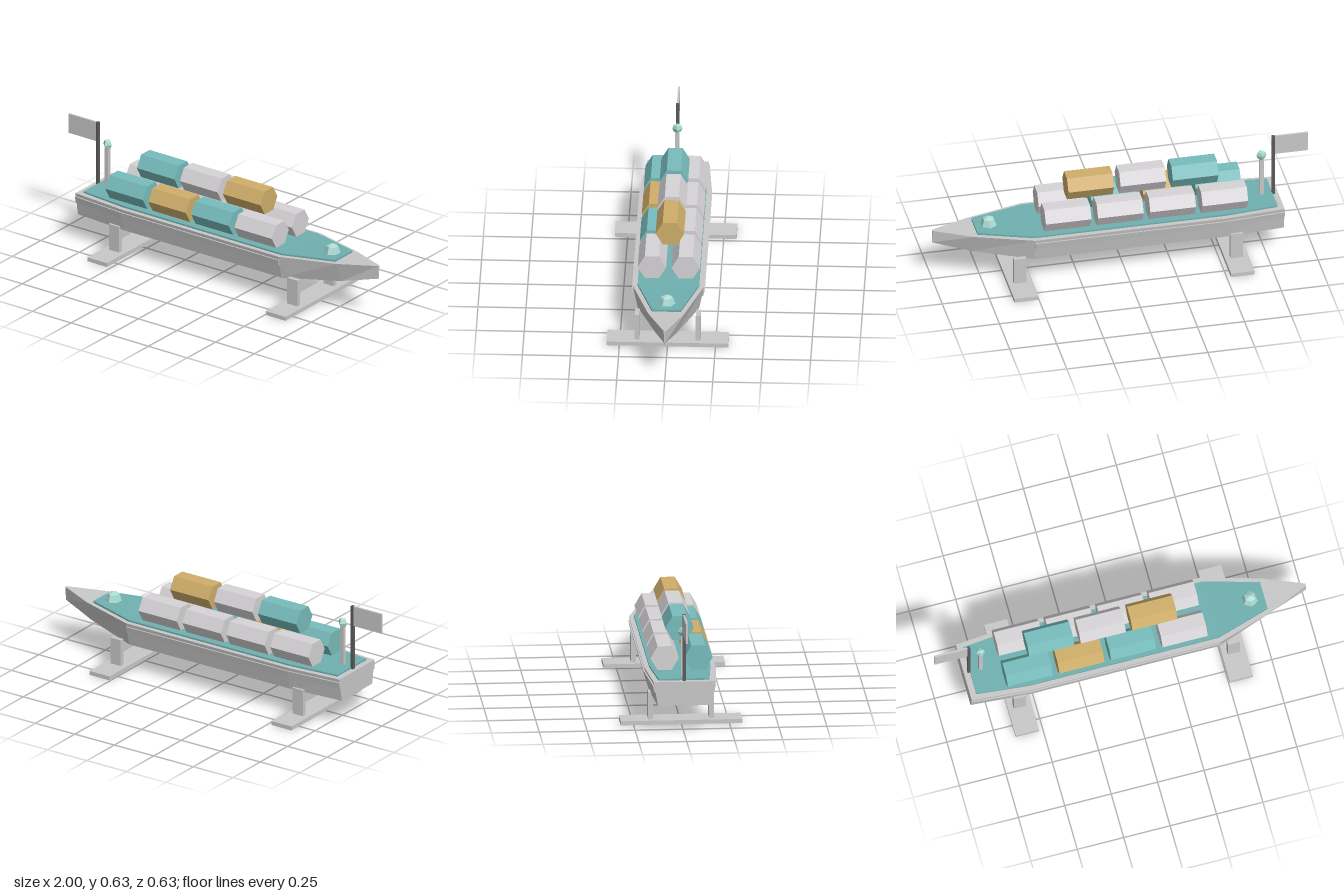
import * as THREE from 'three';

const mat = (name, color) => {
  const m = new THREE.MeshStandardMaterial({ color });
  m.name = name;
  m.flatShading = true;
  return m;
};

// Joins four-cornered cross-sections, listed from stern to bow, into a closed solid.
// Corners run top left, top right, bottom right, bottom left.
function loft(rings) {
  const pos = [];
  const quad = (a, b, c, d) => [a, b, c, a, c, d].forEach((p) => pos.push(...p));
  for (let i = 0; i < rings.length - 1; i++) {
    const a = rings[i], b = rings[i + 1];
    for (let k = 0; k < 4; k++) {
      const n = (k + 1) % 4;
      quad(a[k], b[k], b[n], a[n]);
    }
  }
  const s = rings[0], e = rings[rings.length - 1];
  quad(s[0], s[1], s[2], s[3]);
  quad(e[3], e[2], e[1], e[0]);
  const g = new THREE.BufferGeometry();
  g.setAttribute('position', new THREE.Float32BufferAttribute(pos, 3));
  g.computeVertexNormals();
  return g;
}

// Symmetric section: half width and height of the top, then of the bottom
const section = ([x, tw, ty, bw, by]) => [[x, ty, tw], [x, ty, -tw], [x, by, -bw], [x, by, bw]];

export function createModel() {
  const model = new THREE.Group();
  model.name = 'cargoBarge';

  const hullGrey = mat('hullGrey', 0xc8c8c8);
  const drumGrey = mat('drumGrey', 0xd6d4d6);
  const drumTeal = mat('drumTeal', 0x78bcbc);
  const drumTan = mat('drumTan', 0xcfae6a);
  const deckTeal = mat('deckTeal', 0x70b0b0);
  const lampMint = mat('lampMint', 0xaadcd4);
  const poleDark = mat('poleDark', 0x5c5a5c);

  const add = (name, geometry, material, x = 0, y = 0, z = 0) => {
    const m = new THREE.Mesh(geometry, material);
    m.name = name;
    m.position.set(x, y, z);
    model.add(m);
    return m;
  };

  // Hull with flared sides and a rising pointed bow
  add('hull', loft([
    [-0.842, 0.16, 0.28, 0.138, 0.152],
    [-0.53, 0.186, 0.28, 0.16, 0.152],
    [0.49, 0.186, 0.28, 0.16, 0.152],
    [0.8, 0.093, 0.288, 0.057, 0.178],
    [1.0, 0.006, 0.298, 0.002, 0.225],
  ].map(section)), hullGrey);

  // Deck plate
  add('deck', loft([
    [-0.81, 0.133, 0.289, 0.133, 0.275],
    [-0.53, 0.16, 0.289, 0.16, 0.275],
    [0.49, 0.16, 0.289, 0.16, 0.275],
    [0.775, 0.075, 0.298, 0.075, 0.282],
  ].map(section)), deckTeal);

  // Rubbing strake along each side
  const strakeStations = [[-0.842, 0.165], [-0.53, 0.19], [0.49, 0.19]];
  for (const s of [1, -1]) {
    add('strake', loft(strakeStations.map(([x, w]) => {
      const outerTop = [x, 0.262, s * w], innerTop = [x, 0.262, s * (w - 0.02)];
      const outerBottom = [x, 0.226, s * (w - 0.008)], innerBottom = [x, 0.226, s * (w - 0.028)];
      return s > 0
        ? [outerTop, innerTop, innerBottom, outerBottom]
        : [innerTop, outerTop, outerBottom, innerBottom];
    })), hullGrey);
  }

  // Two skids, each with a pair of struts
  for (const x of [-0.585, 0.568]) {
    add('skid', new THREE.BoxGeometry(0.126, 0.022, 0.634), hullGrey, x, 0.011, 0);
    for (const s of [1, -1]) {
      add('strut', new THREE.BoxGeometry(0.066, 0.148, 0.025), hullGrey, x, 0.094, s * 0.159);
    }
  }

  // Hexagonal cargo drums lying along the deck, flat side up
  const drum = new THREE.CylinderGeometry(0.074, 0.074, 0.243, 6);
  drum.rotateZ(Math.PI / 2);
  const row = (colours, x0, y, z) => colours.forEach((c, i) => {
    add('drum', drum, c, x0 + i * 0.278, y, z);
  });
  row([drumTeal, drumTan, drumTeal, drumGrey], -0.526, 0.357, 0.088);
  row([drumGrey, drumGrey, drumGrey, drumGrey], -0.526, 0.357, -0.088);
  row([drumTeal, drumGrey, drumTan], -0.387, 0.48, 0);

  // Bow lamp: a faceted dome
  add('bowLamp', new THREE.CylinderGeometry(0.031, 0.047, 0.045, 6), lampMint, 0.7, 0.31, 0);
  add('bowLampCap', new THREE.ConeGeometry(0.031, 0.015, 6), lampMint, 0.7, 0.34, 0);

  // Stern light on its mast
  add('lightMast', new THREE.BoxGeometry(0.022, 0.22, 0.022), hullGrey, -0.752, 0.395, 0);
  add('sternLight', new THREE.SphereGeometry(0.027, 4, 4), lampMint, -0.752, 0.525, 0);

  // Flag trailing aft of its pole
  add('flagPole', new THREE.BoxGeometry(0.015, 0.355, 0.017), poleDark, -0.815, 0.4575, 0);
  add('flag', new THREE.BoxGeometry(0.186, 0.108, 0.011), hullGrey, -0.907, 0.58, 0);

  return model;
}
